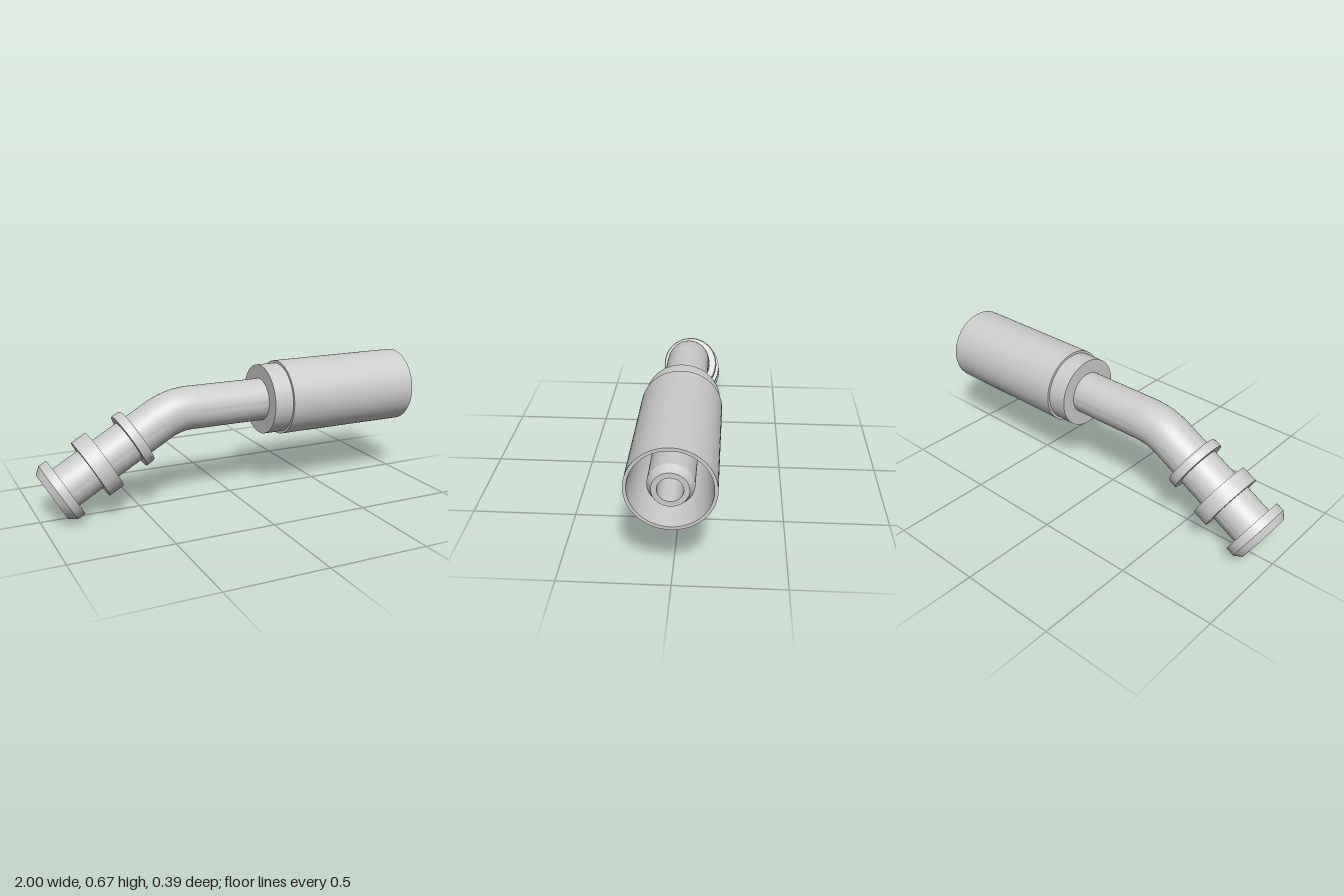
import * as THREE from 'three';
import { toCreasedNormals } from 'three/addons/utils/BufferGeometryUtils.js';

const AXIS_Y = 0.483;   // height of the straight axis
const BEND_X = -0.311;  // where the two axes meet
const TUBE_R = 0.109;
const BORE_R = 0.055;
const TANGENT = 0.09;   // bend length on each side of the corner

export function createModel() {
  const group = new THREE.Group();
  const grey = new THREE.MeshStandardMaterial({ color: 0xcccccc });
  const inside = new THREE.MeshStandardMaterial({ color: 0xcccccc, side: THREE.BackSide });

  // Turned part; profile is [radius, distance along the axis]
  function turned(name, profile, parent) {
    const points = profile.map(([r, s]) => new THREE.Vector2(r, s));
    const geometry = toCreasedNormals(new THREE.LatheGeometry(points, 72), 0.35);
    const mesh = new THREE.Mesh(geometry, grey);
    mesh.name = name;
    parent.add(mesh);
  }

  // Straight end: local +y points along +x
  const straight = new THREE.Group();
  straight.name = 'hoseEnd';
  straight.rotation.z = -Math.PI / 2;
  straight.position.y = AXIS_Y;
  group.add(straight);

  turned('stemAndNipple', [
    [TUBE_R, BEND_X + TANGENT], [TUBE_R, 0.34], [0.099, 0.34], [0.099, 0.96],
    [0.079, 1], [BORE_R, 1], [BORE_R, BEND_X + TANGENT],
  ], straight);

  // Stepped sleeve, open at the hose end with a tapered inside
  turned('crimpSleeve', [
    [TUBE_R, 0.172], [0.18, 0.172], [0.18, 0.273], [0.193, 0.273],
    [0.193, 1], [0.178, 1], [0.152, 0.36], [0.099, 0.36],
  ], straight);

  // Angled end: local +y runs down and to -x at 30 degrees
  const angled = new THREE.Group();
  angled.name = 'angledEnd';
  angled.rotation.z = THREE.MathUtils.degToRad(120);
  angled.position.set(BEND_X, AXIS_Y, 0);
  group.add(angled);

  turned('angledTube', [
    [TUBE_R, TANGENT], [TUBE_R, 0.66], [BORE_R, 0.66],
    [BORE_R, TANGENT],
  ], angled);
  turned('stopRing', [
    [TUBE_R, 0.22], [0.142, 0.22], [0.147, 0.23], [0.147, 0.268], [TUBE_R, 0.268],
  ], angled);
  turned('middleCollar', [
    [TUBE_R, 0.416], [0.158, 0.416], [0.158, 0.498], [TUBE_R, 0.498],
  ], angled);
  turned('tipFlange', [
    [TUBE_R, 0.642], [0.158, 0.642], [0.158, 0.686], [0.13, 0.72],
    [0.068, 0.72], [BORE_R, 0.705], [BORE_R, 0.642],
  ], angled);

  // Bend joining both ends, with its bore
  const corner = new THREE.Vector3(BEND_X, AXIS_Y, 0);
  const a = Math.PI / 6;
  const curve = new THREE.QuadraticBezierCurve3(
    corner.clone().add(new THREE.Vector3(TANGENT, 0, 0)),
    corner,
    corner.clone().add(new THREE.Vector3(-Math.cos(a), -Math.sin(a), 0).multiplyScalar(TANGENT)),
  );
  for (const [name, radius, material] of [['bend', TUBE_R, grey], ['bendBore', BORE_R, inside]]) {
    const mesh = new THREE.Mesh(new THREE.TubeGeometry(curve, 20, radius, 72), material);
    mesh.name = name;
    group.add(mesh);
  }

  return group;
}
